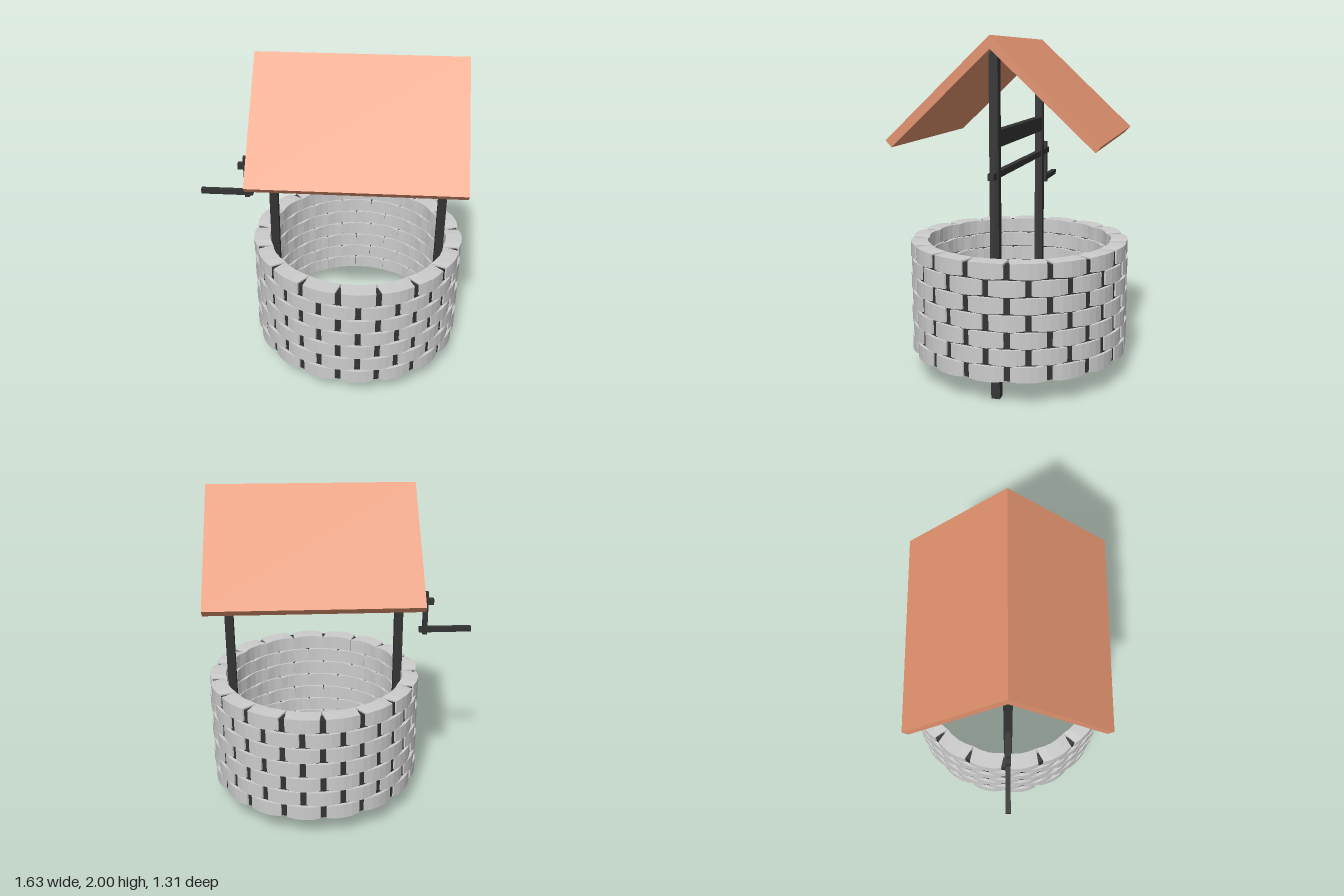
import * as THREE from 'three';

const CX = 0.16; // x of the well's axis
const mat = (color) => new THREE.MeshStandardMaterial({ color, flatShading: true });

export function createModel() {
  const model = new THREE.Group();
  model.name = 'well';
  const stone = mat(0xcccccc), dark = mat(0x333333), clay = mat(0xe0916d);

  const add = (name, geometry, material, x = 0, y = 0, z = 0, parent = model) => {
    const mesh = new THREE.Mesh(geometry, material);
    mesh.name = name;
    mesh.position.set(x, y, z);
    parent.add(mesh);
    return mesh;
  };
  // Box given by its x and y ranges, centred on z = 0
  const bar = (name, x0, x1, y0, y1, depth) =>
    add(name, new THREE.BoxGeometry(x1 - x0, y1 - y0, depth), dark, (x0 + x1) / 2, (y0 + y1) / 2);

  // Stone wall: seven staggered courses of slightly bent bricks
  const rows = 7, perRow = 17, bottom = 0.145, pitch = 0.0965, brickH = 0.09;
  const brick = new THREE.BoxGeometry(0.2, brickH, 0.1, 4, 1, 1);
  const p = brick.attributes.position;
  for (let i = 0; i < p.count; i++) {
    const t = Math.abs(p.getX(i)) / 0.1;
    p.setZ(i, p.getZ(i) + 0.605 - 0.018 * t * t); // bend round the axis
    if (t > 0.9) p.setY(i, p.getY(i) * 0.9); // lower the brick's ends
  }
  brick.computeVertexNormals();
  const wall = new THREE.Group();
  wall.name = 'stoneWall';
  wall.position.x = CX;
  model.add(wall);
  const step = (Math.PI * 2) / perRow;
  const firstJoint = THREE.MathUtils.degToRad(183);
  for (let r = 0; r < rows; r++) {
    for (let i = 0; i < perRow; i++) {
      const b = add('brick', brick, stone, 0, bottom + brickH / 2 + r * pitch, 0, wall);
      b.rotation.y = firstJoint + (i + (r % 2 ? 0 : 0.5)) * step;
    }
  }

  // Mortar core showing in the joints
  const core = [[0.575, 0.15], [0.635, 0.15], [0.635, 0.8], [0.575, 0.8], [0.575, 0.15]];
  add('mortar', new THREE.LatheGeometry(core.map(([x, y]) => new THREE.Vector2(x, y)), 68), dark, CX);

  // Posts and the beam between them
  for (const x of [-0.365, 0.675]) bar('post', x - 0.026, x + 0.026, 0, 1.94, 0.05);
  bar('crossBeam', -0.365, 0.675, 1.415, 1.505, 0.045);

  // Winding axle with its crank
  bar('axle', -0.58, 0.765, 1.247, 1.283, 0.034);
  bar('crankArm', -0.546, -0.516, 1.05, 1.327, 0.03);
  bar('crankHandle', -0.82, -0.495, 1.064, 1.096, 0.03);

  // Gable roof: chevron section pushed along x
  const chevron = new THREE.Shape(
    [[0, 2], [-0.588, 1.447], [-0.554, 1.41], [0, 1.93], [0.554, 1.41], [0.588, 1.447]]
      .map(([x, y]) => new THREE.Vector2(x, y)));
  const roof = new THREE.ExtrudeGeometry(chevron, { depth: 1.205, bevelEnabled: false });
  roof.rotateY(Math.PI / 2);
  add('roof', roof, clay, -0.44);

  return model;
}
